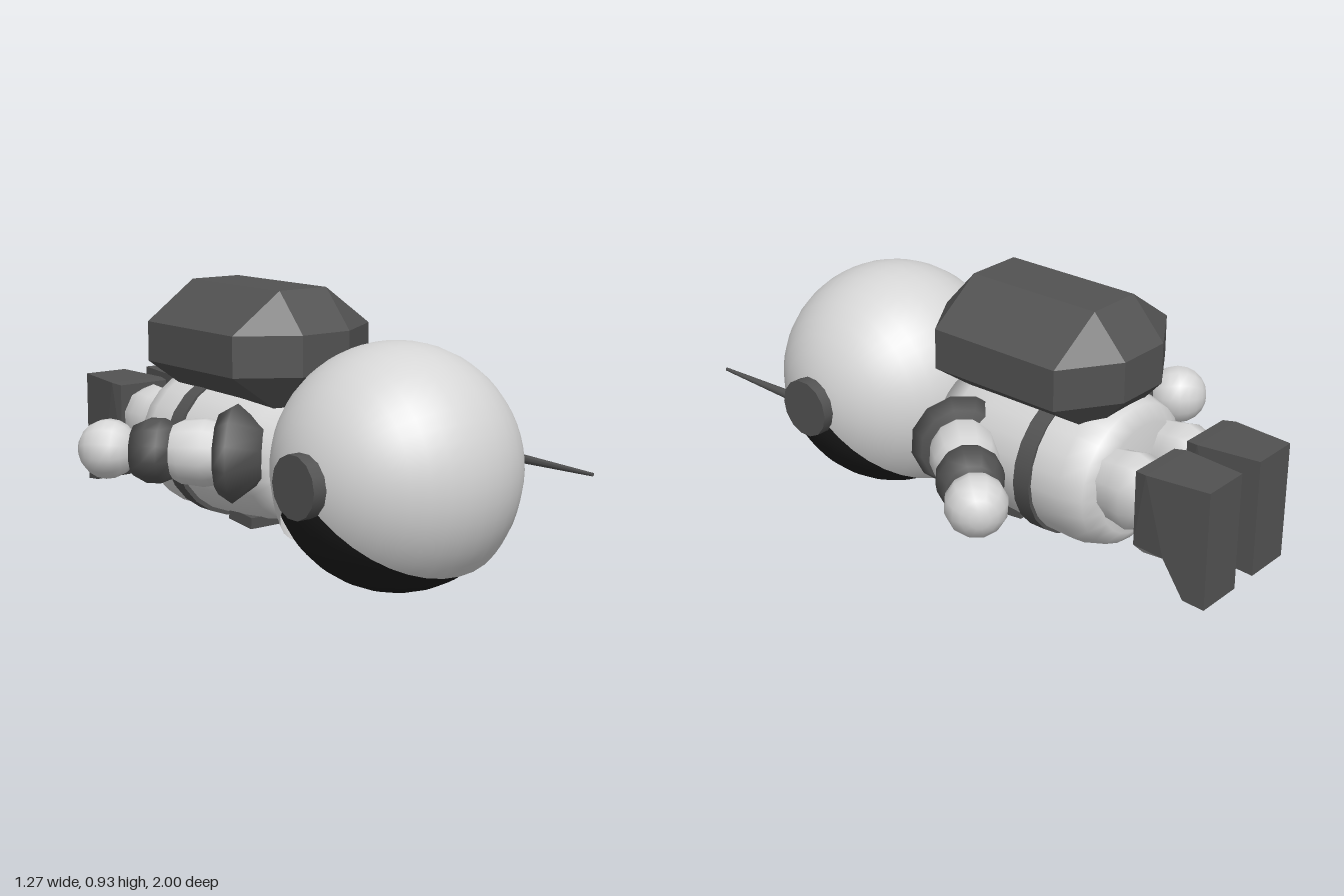
import * as THREE from 'three';
import { ConvexGeometry } from 'three/addons/geometries/ConvexGeometry.js';

const V2 = (x, y) => new THREE.Vector2(x, y);

export function createModel() {
  const suit = new THREE.MeshStandardMaterial({ color: 0xd6d6d6, side: THREE.DoubleSide });
  suit.name = 'suitLightGrey';
  const gear = new THREE.MeshStandardMaterial({ color: 0x525252 });
  gear.name = 'gearDarkGrey';
  const glass = new THREE.MeshStandardMaterial({ color: 0x1c1c1c });
  glass.name = 'visorBlack';

  const root = new THREE.Group();
  root.name = 'lyingAstronaut';
  const add = (name, geometry, material, x = 0, y = 0, z = 0, parent = root) => {
    const mesh = new THREE.Mesh(geometry, material);
    mesh.name = name;
    mesh.position.set(x, y, z);
    parent.add(mesh);
    return mesh;
  };
  // Profile given as [position along axis, radius]
  const lathe = (profile, sides) =>
    new THREE.LatheGeometry(profile.map(([s, r]) => V2(r, s)), sides);

  // Helmet: sphere with its poles on x and a quarter cut out below for the visor
  const helmetY = 0.405, helmetZ = 0.53;
  const shell = new THREE.SphereGeometry(0.407, 36, 20, -Math.PI * 0.75, Math.PI * 1.5);
  shell.rotateZ(-Math.PI / 2);
  const p = shell.attributes.position;
  for (let i = 0; i < p.count; i++) {
    // The rim flares a little, more at the neck than at the forehead
    const a = Math.atan2(p.getZ(i), p.getY(i));
    const t = THREE.MathUtils.clamp((Math.abs(a) - 1.9) / 0.45, 0, 1);
    const k = 1 + t * (a > 0 ? 0.03 : 0.07);
    p.setY(i, p.getY(i) * k);
    p.setZ(i, p.getZ(i) * k);
  }
  add('helmet', shell, suit, 0, helmetY, helmetZ);
  const visor = new THREE.SphereGeometry(0.402, 20, 20, Math.PI * 0.7, Math.PI * 0.6);
  visor.rotateZ(-Math.PI / 2);
  add('visor', visor, glass, 0, helmetY, helmetZ);

  // Ear discs and antenna
  for (const side of [1, -1]) {
    const disc = new THREE.CylinderGeometry(0.103, 0.103, 0.07, 14).rotateZ(Math.PI / 2);
    add('earDisc', disc, gear, side * 0.402, 0.403, 0.548);
  }
  const antenna = new THREE.CylinderGeometry(0.006, 0.02, 0.45, 8).rotateX(Math.PI / 2);
  add('antenna', antenna, gear, 0.402, 0.407, 0.775);

  // Torso and belt run along z
  const torso = lathe([[-0.59, 0], [-0.59, 0.19], [-0.55, 0.24], [-0.47, 0.262], [-0.33, 0.258],
    [-0.1, 0.245], [0.04, 0.22], [0.14, 0.18], [0.14, 0]], 24);
  torso.rotateX(Math.PI / 2).scale(1.1, 1, 1);
  add('torso', torso, suit, 0, 0.357, 0);
  const belt = new THREE.CylinderGeometry(0.27, 0.27, 0.065, 24);
  belt.rotateX(Math.PI / 2).scale(1.1, 0.98, 1);
  add('belt', belt, gear, 0, 0.352, -0.323);
  const panel = add('chestPanel', new THREE.BoxGeometry(0.28, 0.04, 0.13), gear, 0, 0.126, -0.125);
  panel.rotation.x = 0.1;

  // Backpack: octagonal band with sloping faces to a narrow top and bottom
  const pack = [];
  const midZ = -0.203;
  for (const sx of [1, -1]) for (const sz of [1, -1]) for (const sy of [1, -1]) {
    const at = (x, y, z) => pack.push(new THREE.Vector3(sx * x, 0.728 + sy * y, midZ + sz * z));
    at(0.1, 0.07, 0.378);
    at(0.295, 0.07, 0.25);
    at(0.1, 0.207, 0.253);
  }
  add('backpack', new ConvexGeometry(pack), gear);

  for (const side of [1, -1]) {
    // Arm: parts in a row along a slanting axis
    const arm = new THREE.Group();
    arm.name = side > 0 ? 'leftArm' : 'rightArm';
    arm.position.set(side * 0.275, 0.39, -0.05);
    arm.quaternion.setFromUnitVectors(new THREE.Vector3(0, 1, 0),
      new THREE.Vector3(side * 0.66, 0, -0.75).normalize());
    root.add(arm);
    add('shoulderRing', lathe([[-0.15, 0], [-0.15, 0.09], [-0.05, 0.17], [0, 0.14], [0, 0]], 12),
      gear, 0, 0, 0, arm);
    add('upperArm', lathe([[-0.04, 0.1], [0.05, 0.118], [0.13, 0.11], [0.18, 0.085]], 12),
      suit, 0, 0, 0, arm);
    add('elbowRing', lathe([[0.15, 0], [0.15, 0.09], [0.2, 0.112], [0.25, 0.112], [0.3, 0.088], [0.3, 0]], 12),
      gear, 0, 0, 0, arm);
    add('hand', new THREE.SphereGeometry(0.104, 12, 10), suit, 0, 0.393, 0, arm);

    // Leg: barrel-shaped knee and tapering boot
    const leg = new THREE.Group();
    leg.name = side > 0 ? 'leftLeg' : 'rightLeg';
    leg.position.set(side * 0.135, 0, 0);
    root.add(leg);
    const knee = lathe([[-0.75, 0.085], [-0.72, 0.092], [-0.67, 0.106], [-0.62, 0.098], [-0.5, 0.085]], 10);
    knee.rotateX(Math.PI / 2).scale(1, 1.3, 1);
    add('knee', knee, suit, 0, 0.39, 0, leg);

    const outline = new THREE.Shape([V2(0.735, 0.265), V2(0.78, 0.26), V2(0.85, 0.26), V2(0.925, 0.135),
      V2(1, 0.125), V2(1, 0.535), V2(0.78, 0.53), V2(0.735, 0.525)]);
    const boot = new THREE.ExtrudeGeometry(outline, { depth: 2, bevelEnabled: false });
    boot.translate(0, 0, -1).rotateY(Math.PI / 2);
    const b = boot.attributes.position;
    for (let i = 0; i < b.count; i++) {
      const d = -b.getZ(i);
      const half = d < 0.77 ? 0.1 : 0.11 - (d - 0.78) * 0.114;
      b.setX(i, b.getX(i) * half);
    }
    boot.computeVertexNormals();
    add('boot', boot, gear, 0, 0, 0, leg);
  }
  return root;
}
